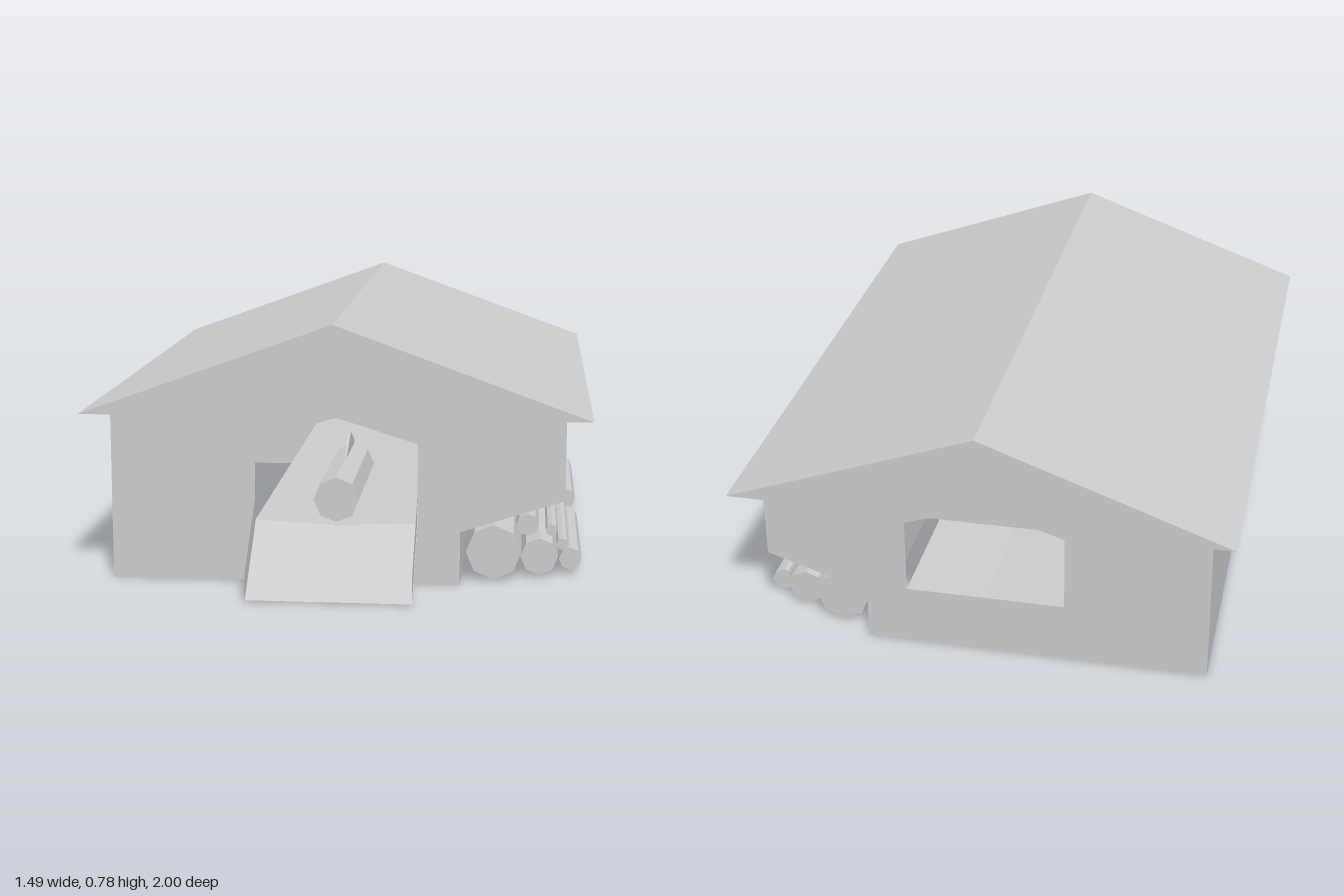
import * as THREE from 'three';

const mat = new THREE.MeshStandardMaterial({ color: 0xcccccc, flatShading: true, side: THREE.DoubleSide });
const FRONT = 0.775, BACK = -0.9;

const toShape = (pts) => new THREE.Shape(pts.map(([x, y]) => new THREE.Vector2(x, y)));

export function createModel() {
  const model = new THREE.Group();

  const add = (name, geometry, parent = model) => {
    const mesh = new THREE.Mesh(geometry, mat);
    mesh.name = name;
    parent.add(mesh);
    return mesh;
  };

  // Thin sheet following an open xy path, swept from z0 to z1
  const sheet = (path, z0, z1) => {
    const pos = [];
    for (let i = 0; i < path.length - 1; i++) {
      const [ax, ay] = path[i], [bx, by] = path[i + 1];
      pos.push(ax, ay, z0, bx, by, z0, bx, by, z1, ax, ay, z0, bx, by, z1, ax, ay, z1);
    }
    const g = new THREE.BufferGeometry();
    g.setAttribute('position', new THREE.Float32BufferAttribute(pos, 3));
    g.computeVertexNormals();
    return g;
  };

  // Eight-sided log lying along z
  const addLog = (name, x, y, r, z0, z1, parent) => {
    const g = new THREE.CylinderGeometry(r, r, Math.abs(z1 - z0), 8);
    g.rotateX(Math.PI / 2);
    add(name, g, parent).position.set(x, y, (z0 + z1) / 2);
  };

  // Gable roof
  const roof = new THREE.ExtrudeGeometry(toShape([[-0.745, 0.51], [0.745, 0.51], [0, 0.78]]),
    { depth: 1.865, bevelEnabled: false });
  add('roof', roof).position.z = -1;

  // End walls with gabled openings
  const outline = [[-0.67, 0], [0.365, 0], [0.365, 0.16], [0.67, 0.26], [0.67, 0.51], [-0.67, 0.51]];
  const opening = [[-0.24, 0.185], [-0.24, 0.42], [0, 0.495], [0.24, 0.42], [0.24, 0.185], [0, 0.172]];
  for (const [name, z] of [['frontWall', FRONT], ['backWall', BACK]]) {
    const wall = toShape(outline);
    const hole = opening.map((p) => [...p]);
    if (z === BACK) hole.pop();
    wall.holes.push(toShape(hole));
    add(name, new THREE.ShapeGeometry(wall)).position.z = z;
  }

  // Side walls, the right-hand one stepping in below a sloped overhang
  add('plainSideWall', sheet([[-0.67, 0], [-0.67, 0.51]], FRONT, BACK));
  add('overhangSideWall', sheet(outline.slice(1, 5), FRONT, BACK));

  // Shallow V-shaped saw bed running through the building
  add('sawBed', sheet([[-0.24, 0.185], [0, 0.172], [0.24, 0.185]], FRONT, BACK));

  // Loading ramp with low side boards
  const ramp = new THREE.Group();
  ramp.name = 'ramp';
  const deck = new THREE.PlaneGeometry(0.48, 1, 2, 1);
  const p = deck.attributes.position;
  for (let i = 0; i < p.count; i++) {
    const top = p.getY(i) > 0;
    const dip = p.getX(i) === 0 ? 0.013 : 0;
    p.setXYZ(i, p.getX(i), top ? 0.185 - dip : 0.003, top ? FRONT : 1);
  }
  deck.computeVertexNormals();
  add('rampDeck', deck, ramp);
  for (const side of [-1, 1]) {
    const board = new THREE.ShapeGeometry(toShape([[-1, 0], [-FRONT, 0.18], [-FRONT, 0.26], [-1, 0.08]]));
    board.rotateY(Math.PI / 2);
    add('rampSideBoard', board, ramp).position.x = side * 0.239;
  }
  model.add(ramp);

  // Log being cut and the circular blade
  addLog('logOnBed', 0, 0.25, 0.067, 0.775, 0.25, model);
  const blade = new THREE.CylinderGeometry(0.165, 0.165, 0.006, 8);
  blade.rotateZ(Math.PI / 2);
  add('sawBlade', blade).position.set(0, 0.21, 0.36);

  // Two stacks of logs beneath the overhang: x, y, radius, end inset
  const logs = [
    [0.463, 0.09, 0.082, 0], [0.598, 0.066, 0.056, 0.055], [0.562, 0.15, 0.034, 0.105],
    [0.635, 0.135, 0.018, 0.105], [0.667, 0.105, 0.018, 0.055], [0.692, 0.048, 0.034, 0.105],
  ];
  for (const z of [0.73, -0.08]) {
    const stack = new THREE.Group();
    stack.name = 'logStack';
    for (const [x, y, r, inset] of logs) addLog('stackedLog', x, y, r, z - inset, z - 0.76 + inset, stack);
    model.add(stack);
  }

  return model;
}
